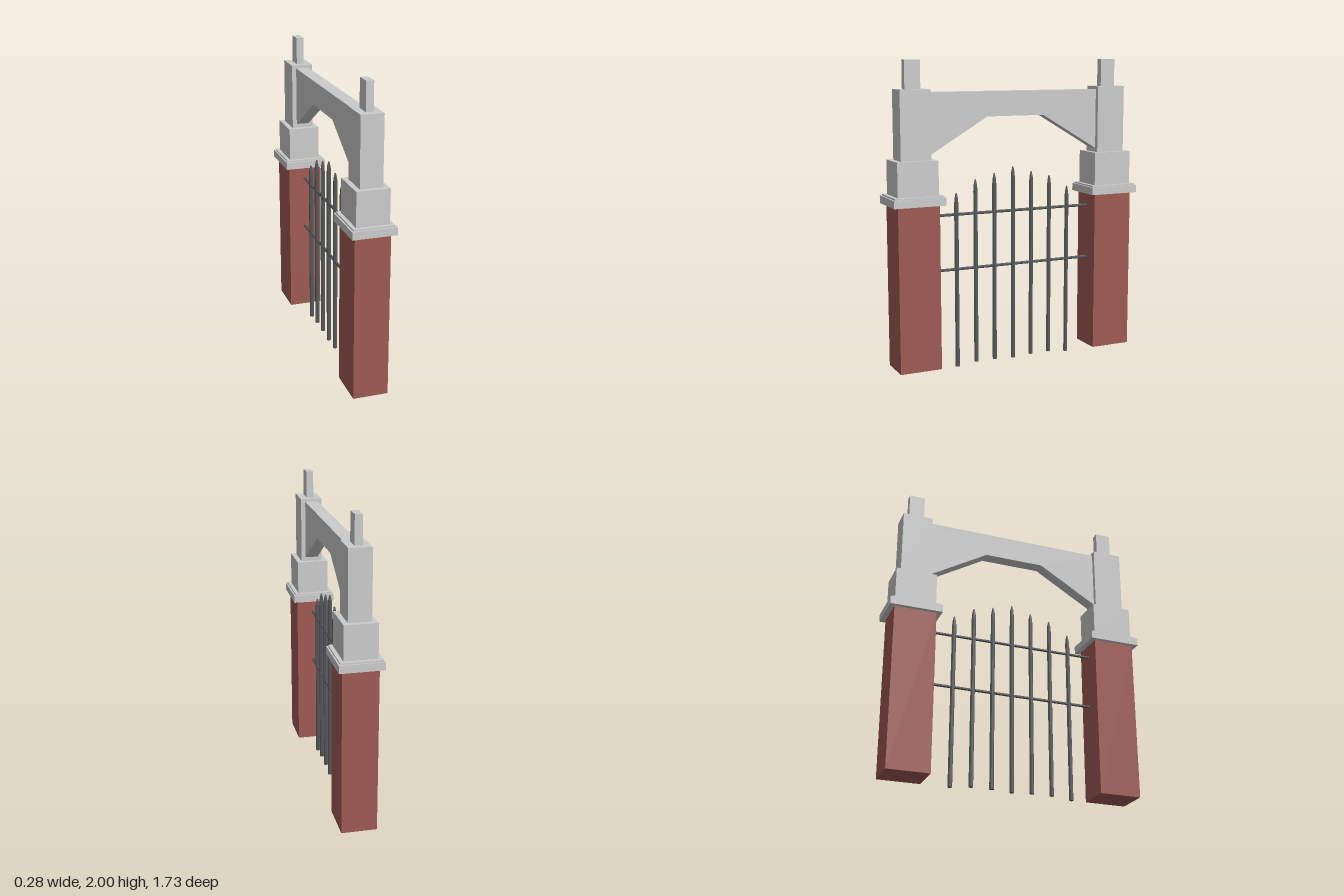
import * as THREE from 'three';

const stone = new THREE.MeshStandardMaterial({ color: 0xcccccc, flatShading: true });
const brick = new THREE.MeshStandardMaterial({ color: 0x9e5a54, flatShading: true });
const iron = new THREE.MeshStandardMaterial({ color: 0x58595b, flatShading: true });

function add(parent, name, geometry, material, x = 0, y = 0, z = 0) {
  const mesh = new THREE.Mesh(geometry, material);
  mesh.name = name;
  mesh.position.set(x, y, z);
  parent.add(mesh);
  return mesh;
}

// Stacked blocks of a pillar: name, half width x, half depth z, bottom, top
const BLOCKS = [
  ['pillarShaft', 0.113, 0.138, 0.035, 1.1, brick],
  ['pillarCap', 0.14, 0.172, 1.1, 1.15, stone],
  ['pillarCapStep', 0.13, 0.161, 1.15, 1.16, stone],
  ['pillarPlinth', 0.105, 0.135, 1.16, 1.38, stone],
  ['pillarUpper', 0.072, 0.1, 1.38, 1.82, stone],
  ['finial', 0.024, 0.052, 1.82, 2, stone],
];

function createPillar() {
  const pillar = new THREE.Group();
  for (const [name, hx, hz, y0, y1, material] of BLOCKS) {
    add(pillar, name, new THREE.BoxGeometry(hx * 2, y1 - y0, hz * 2), material, 0, (y0 + y1) / 2);
  }
  return pillar;
}

// Lintel with a chamfered underside, profile drawn across z and extruded along x
function createLintel() {
  const profile = new THREE.Shape([
    [-0.598, 1.405], [-0.2, 1.64], [0.2, 1.64], [0.598, 1.405], [0.598, 1.8], [-0.598, 1.8],
  ].map(([z, y]) => new THREE.Vector2(z, y)));
  const geometry = new THREE.ExtrudeGeometry(profile, { depth: 0.086, bevelEnabled: false });
  return geometry.translate(0, 0, -0.043).rotateY(Math.PI / 2);
}

// Six-sided iron bar with a pointed head
function createBar(bottom, top) {
  const bar = new THREE.Group();
  const neck = top - 0.075;
  add(bar, 'barShaft', new THREE.CylinderGeometry(0.015, 0.015, neck - bottom, 6), iron, 0, (neck + bottom) / 2);
  add(bar, 'barShoulder', new THREE.CylinderGeometry(0.012, 0.015, 0.04, 6), iron, 0, neck + 0.02);
  add(bar, 'barTip', new THREE.CylinderGeometry(0.004, 0.012, 0.035, 6), iron, 0, top - 0.0175);
  return bar;
}

export function createModel() {
  const model = new THREE.Group();
  model.name = 'gateway';

  for (const side of [-1, 1]) {
    const pillar = createPillar();
    pillar.name = side > 0 ? 'frontPillar' : 'backPillar';
    pillar.position.z = side * 0.695;
    model.add(pillar);
  }

  add(model, 'lintel', createLintel(), stone);

  const gate = new THREE.Group();
  gate.name = 'gate';
  model.add(gate);

  // Bars rise towards the middle of the gate
  const tops = [1.305, 1.268, 1.235, 1.155];
  const bottoms = [0.008, 0.015, 0.015, 0];
  for (let i = -3; i <= 3; i++) {
    const bar = createBar(bottoms[Math.abs(i)], tops[Math.abs(i)]);
    bar.name = 'gateBar';
    bar.position.z = i * 0.134;
    gate.add(bar);
  }

  // Horizontal rails between the pillars
  for (const y of [0.655, 1.015]) {
    add(gate, 'gateRail', new THREE.CylinderGeometry(0.0095, 0.0095, 1.13, 6).rotateX(Math.PI / 2), iron, 0, y);
  }

  return model;
}
